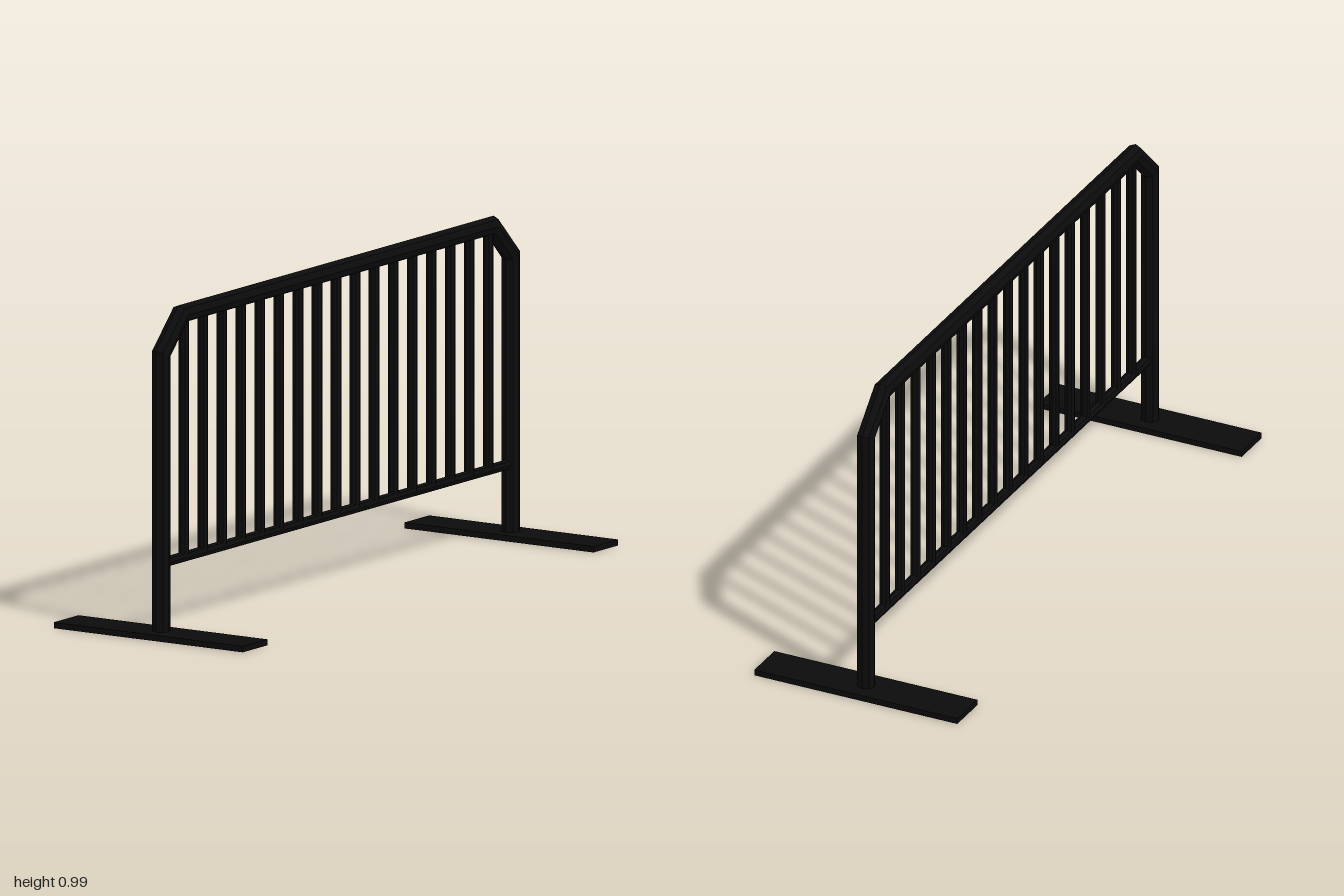
import * as THREE from 'three';

const material = new THREE.MeshStandardMaterial({ color: 0x0b0b0b, flatShading: true });
const SIDES = 8;

// Octagonal tube along points [z, y] in the x = 0 plane, with mitred bends and capped ends
function mitredTube(path, radius) {
  const points = path.map(([z, y]) => new THREE.Vector2(z, y));
  const positions = [], index = [];
  points.forEach((p, i) => {
    const before = p.clone().sub(points[Math.max(i - 1, 0)]).normalize();
    const after = points[Math.min(i + 1, points.length - 1)].clone().sub(p).normalize();
    const tangent = before.clone().add(after).normalize();
    const along = i === 0 ? after : before;
    const stretch = radius / tangent.dot(along);
    for (let s = 0; s < SIDES; s++) {
      const a = (s / SIDES) * Math.PI * 2;
      const out = Math.cos(a) * stretch;
      positions.push(Math.sin(a) * radius, p.y + tangent.x * out, p.x - tangent.y * out);
    }
  });
  for (let i = 0; i < points.length - 1; i++) {
    for (let s = 0; s < SIDES; s++) {
      const a = i * SIDES + s, b = i * SIDES + (s + 1) % SIDES;
      index.push(a, a + SIDES, b, b, a + SIDES, b + SIDES);
    }
  }
  const last = (points.length - 1) * SIDES;
  for (let s = 1; s < SIDES - 1; s++) {
    index.push(0, s, s + 1, last, last + s + 1, last + s);
  }
  const geometry = new THREE.BufferGeometry();
  geometry.setAttribute('position', new THREE.Float32BufferAttribute(positions, 3));
  geometry.setIndex(index);
  geometry.computeVertexNormals();
  return geometry;
}

function addPart(parent, name, geometry, y = 0, z = 0) {
  const mesh = new THREE.Mesh(geometry, material);
  mesh.name = name;
  mesh.position.set(0, y, z);
  parent.add(mesh);
  return mesh;
}

export function createModel() {
  const model = new THREE.Group();
  model.name = 'barrier';

  // Posts and top rail as one bent tube
  const frame = [[-0.932, 0.005], [-0.932, 0.853], [-0.828, 0.957],
    [0.828, 0.957], [0.932, 0.853], [0.932, 0.005]];
  addPart(model, 'frame', mitredTube(frame, 0.028));

  // Lower rail
  addPart(model, 'lowerRail', mitredTube([[-0.932, 0.222], [0.932, 0.222]], 0.016));

  // Evenly spaced upright bars
  const bars = new THREE.Group();
  bars.name = 'bars';
  model.add(bars);
  const barGeometry = new THREE.CylinderGeometry(0.016, 0.016, 0.735, SIDES);
  for (let i = -8; i <= 8; i++) addPart(bars, 'bar', barGeometry, 0.5895, i * 0.1013);

  // Flat foot plates
  const footGeometry = new THREE.BoxGeometry(0.674, 0.018, 0.132);
  for (const side of [-1, 1]) {
    addPart(model, side > 0 ? 'frontFoot' : 'backFoot', footGeometry, 0.009, side * 0.934);
  }
  return model;
}
